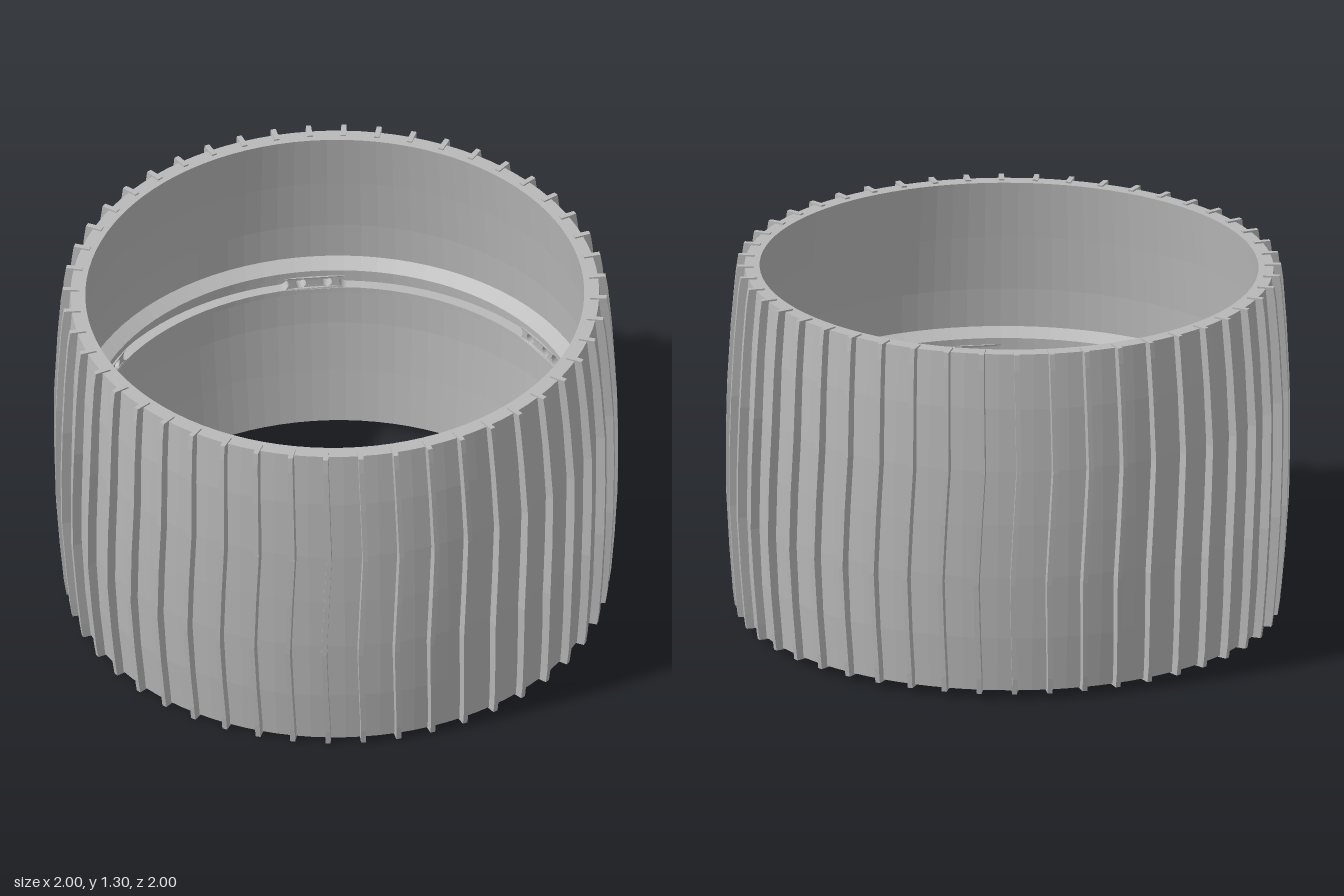
import * as THREE from 'three';

const RIBS = 48;
const PHASE = THREE.MathUtils.degToRad(4.4);
const MID = 0.651;
const RIDGE = 0.876; // radius of the inner ridge
const SLOT = 0.026; // half height of the slots

// split faces so every facet is shaded flat
function faceted(geometry) {
  const g = geometry.index ? geometry.toNonIndexed() : geometry;
  g.computeVertexNormals();
  return g;
}

// hollow barrel with an inner ridge that carries a groove
function sleeveGeometry() {
  const half = [
    [0.966, 0.0], [0.964, 0.2], [0.954, 0.43], [0.937, 0.631], // outer wall
    [0.884, 0.631], [0.905, 0.42], [0.921, 0.22], [0.925, 0.078], // inner wall
    [RIDGE, 0.05], [RIDGE, SLOT], [0.915, SLOT], // ridge and groove
  ];
  const mirrored = half.slice(1).reverse().map(([r, y]) => [r, -y]);
  const loop = [...half, ...mirrored, half[0]].map(([r, y]) => new THREE.Vector2(r, y));
  return faceted(new THREE.LatheGeometry(loop, RIBS * 2, PHASE));
}

// slim rib swept along the barrel with a slight S-bend
function ribGeometry() {
  // height, sideways shift, inner radius, tip radius
  const sections = [
    [-0.637, 0.0, 0.905, 0.964],
    [-0.58, 0.0, 0.91, 0.972],
    [-0.42, -0.005, 0.93, 0.985],
    [-0.22, -0.01, 0.945, 0.997],
    [0.0, 0.0, 0.95, 1.0],
    [0.2, 0.01, 0.945, 0.997],
    [0.42, 0.005, 0.93, 0.985],
    [0.58, 0.001, 0.91, 0.972],
    [0.637, 0.0, 0.905, 0.964],
  ];
  const pos = [];
  const index = [];
  for (const [y, s, r0, r1] of sections) {
    pos.push(s - 0.01, y, r0, s - 0.009, y, r1, s + 0.009, y, r1, s + 0.01, y, r0);
  }
  for (let i = 0; i < sections.length - 1; i++) {
    for (let k = 0; k < 4; k++) {
      const a = i * 4 + k;
      const b = i * 4 + ((k + 1) % 4);
      index.push(a, b, b + 4, a, b + 4, a + 4);
    }
  }
  const e = (sections.length - 1) * 4;
  index.push(0, 2, 1, 0, 3, 2, e, e + 1, e + 2, e, e + 2, e + 3);
  const g = new THREE.BufferGeometry();
  g.setAttribute('position', new THREE.Float32BufferAttribute(pos, 3));
  g.setIndex(index);
  return faceted(g);
}

// block between two slots: round slot ends and two pin holes, bent to the ridge
function bridgeGeometry() {
  const w = 0.116;
  const shape = new THREE.Shape();
  shape.moveTo(-w, -SLOT);
  shape.lineTo(w, -SLOT);
  shape.absarc(w, 0, SLOT, -Math.PI / 2, Math.PI / 2, true);
  shape.lineTo(-w, SLOT);
  shape.absarc(-w, 0, SLOT, Math.PI / 2, -Math.PI / 2, true);
  for (const x of [-0.046, 0.046]) {
    const hole = new THREE.Path();
    hole.absarc(x, 0, 0.019, 0, Math.PI * 2, true);
    shape.holes.push(hole);
  }
  const g = new THREE.ExtrudeGeometry(shape, { depth: 0.041, bevelEnabled: false, curveSegments: 8 });
  const p = g.attributes.position;
  for (let i = 0; i < p.count; i++) {
    const angle = p.getX(i) / RIDGE;
    const radius = RIDGE + p.getZ(i);
    p.setXYZ(i, radius * Math.sin(angle), p.getY(i), radius * Math.cos(angle));
  }
  return faceted(g);
}

// repeat one geometry evenly around the axis
function ring(name, part, geometry, material, count, start) {
  const group = new THREE.Group();
  group.name = name;
  for (let i = 0; i < count; i++) {
    const mesh = new THREE.Mesh(geometry, material);
    mesh.name = part;
    mesh.rotation.y = start + (i / count) * Math.PI * 2;
    group.add(mesh);
  }
  return group;
}

export function createModel() {
  const grey = new THREE.MeshStandardMaterial({ color: 0xb8b8b8 });
  grey.name = 'plain grey';

  const tread = new THREE.Group();
  tread.name = 'ribbedTread';
  const sleeve = new THREE.Mesh(sleeveGeometry(), grey);
  sleeve.name = 'sleeve';
  tread.add(sleeve);
  tread.add(ring('treadRibs', 'treadRib', ribGeometry(), grey, RIBS, PHASE));
  tread.add(ring('slotBridges', 'slotBridge', bridgeGeometry(), grey, 6, THREE.MathUtils.degToRad(-11)));

  // rests with a very slight tilt
  tread.rotation.set(0.01, 0, 0.01);
  tread.position.y = MID;

  const model = new THREE.Group();
  model.name = 'model';
  model.add(tread);
  return model;
}
